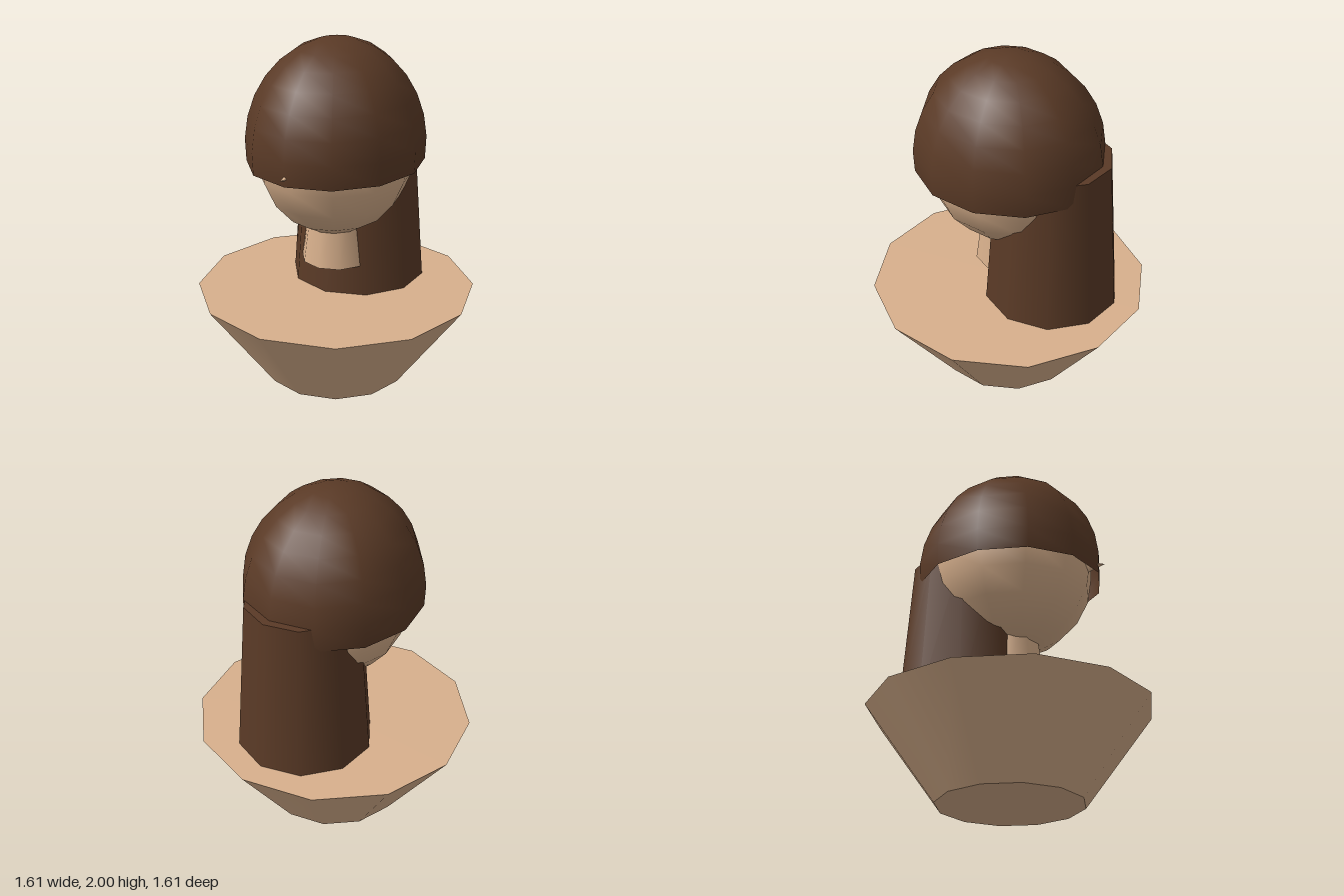
import * as THREE from 'three';

export function createModel() {
  const model = new THREE.Group();
  const skin = new THREE.MeshStandardMaterial({ color: 0xd8b08c });
  skin.name = 'skin';
  const hair = new THREE.MeshStandardMaterial({ color: 0x5a3a26, side: THREE.DoubleSide });
  hair.name = 'hairBrown';

  function add(name, geometry, material, x, y, z) {
    const mesh = new THREE.Mesh(geometry, material);
    mesh.name = name;
    mesh.position.set(x, y, z);
    model.add(mesh);
    return mesh;
  }

  // Flared shoulders, wide at the top
  add('shoulders', new THREE.CylinderGeometry(0.803, 0.412, 0.535, 12), skin, 0, 0.2675, 0);

  // Short neck, hanging from the head
  add('neck', new THREE.CylinderGeometry(0.15, 0.198, 0.36, 10), skin, 0, 0.89, 0);

  // Egg-shaped head
  const head = new THREE.SphereGeometry(1, 12, 10);
  head.scale(0.45, 0.515, 0.49);
  add('head', head, skin, 0, 1.4, 0);

  // Nose, of which only the tip shows
  const nose = new THREE.ConeGeometry(0.045, 0.13, 4);
  nose.rotateX(Math.PI / 2);
  add('nose', nose, skin, 0, 1.352, 0.512);

  // Open cap of hair reaching a little below the widest ring
  const cap = new THREE.SphereGeometry(1, 12, 8, 0, Math.PI * 2, 0, Math.PI * 0.55);
  cap.scale(0.495, 0.601, 0.543);
  add('hairCap', cap, hair, 0, 1.399, 0);

  // Long hair falling down the back to the shoulders
  add('backHair', new THREE.CylinderGeometry(0.325, 0.391, 0.92, 10), hair, 0, 0.98, -0.265);

  return model;
}
